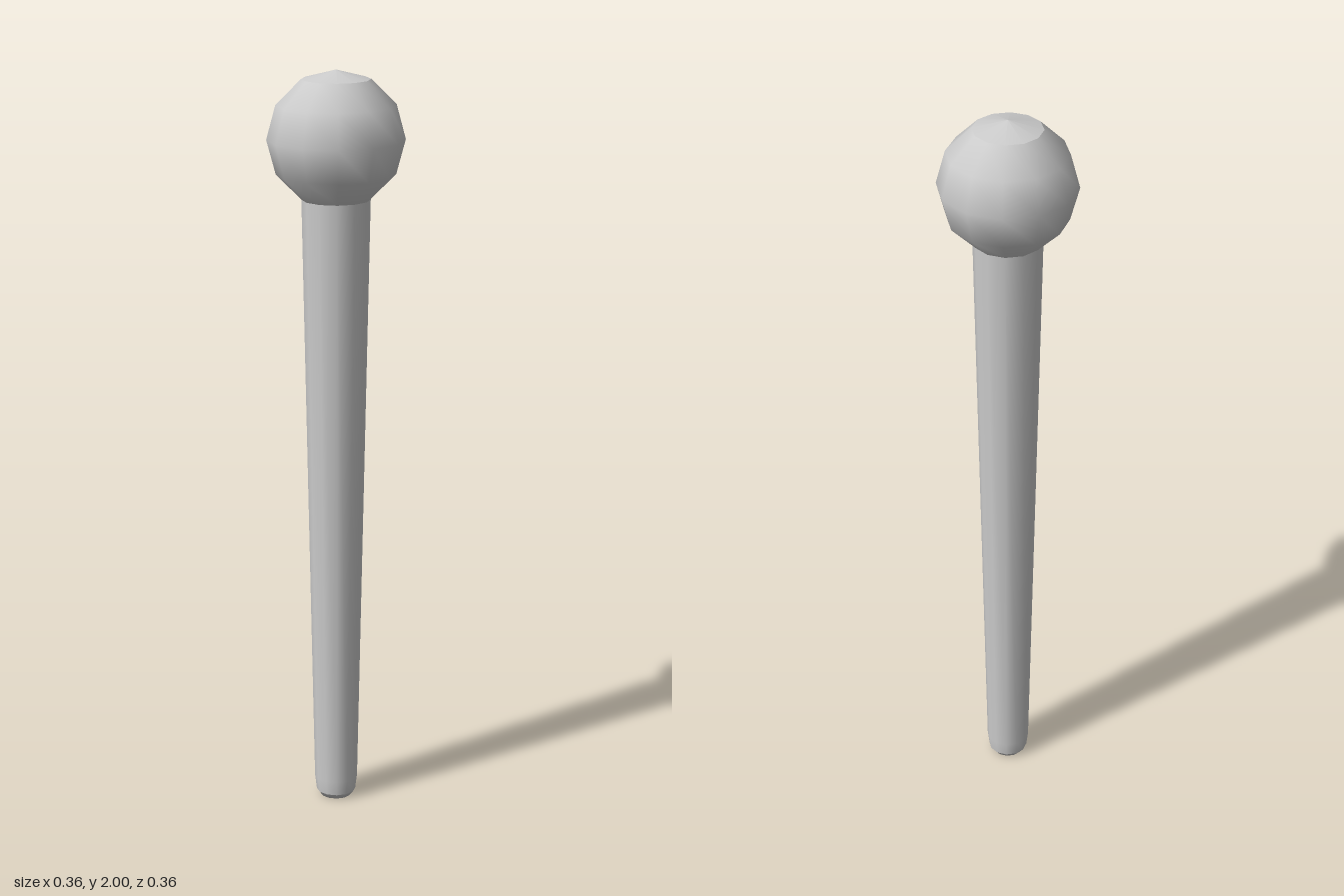
import * as THREE from 'three';

const SIDES = 12;
const HEAD_RADIUS = 0.18;
const HEAD_Y = 1.82;

export function createModel() {
  const model = new THREE.Group();
  model.name = 'knobbedRod';
  const material = new THREE.MeshStandardMaterial({ color: 0xcccccc });

  // Profiles run from bottom to top; separate lathes keep the edges between them sharp.
  function turned(name, profile) {
    const points = profile.map(([r, y]) => new THREE.Vector2(r, y));
    const mesh = new THREE.Mesh(new THREE.LatheGeometry(points, SIDES), material);
    mesh.name = name;
    model.add(mesh);
  }

  // Point on the head's profile, at an angle measured from its top
  const onHead = (degrees) => {
    const a = THREE.MathUtils.degToRad(degrees);
    return [HEAD_RADIUS * Math.sin(a), HEAD_Y + HEAD_RADIUS * Math.cos(a)];
  };

  // Chamfered tip and tapered shaft
  turned('tip', [[0, 0], [0.041, 0], [0.053, 0.015]]);
  turned('shaft', [[0.053, 0.015], [0.058, 0.055], onHead(150)]);

  // Round head with a shallow cap
  turned('head', [150, 120, 90, 60, 30].map(onHead));
  turned('headCap', [onHead(30), [0, HEAD_Y + HEAD_RADIUS]]);

  return model;
}
